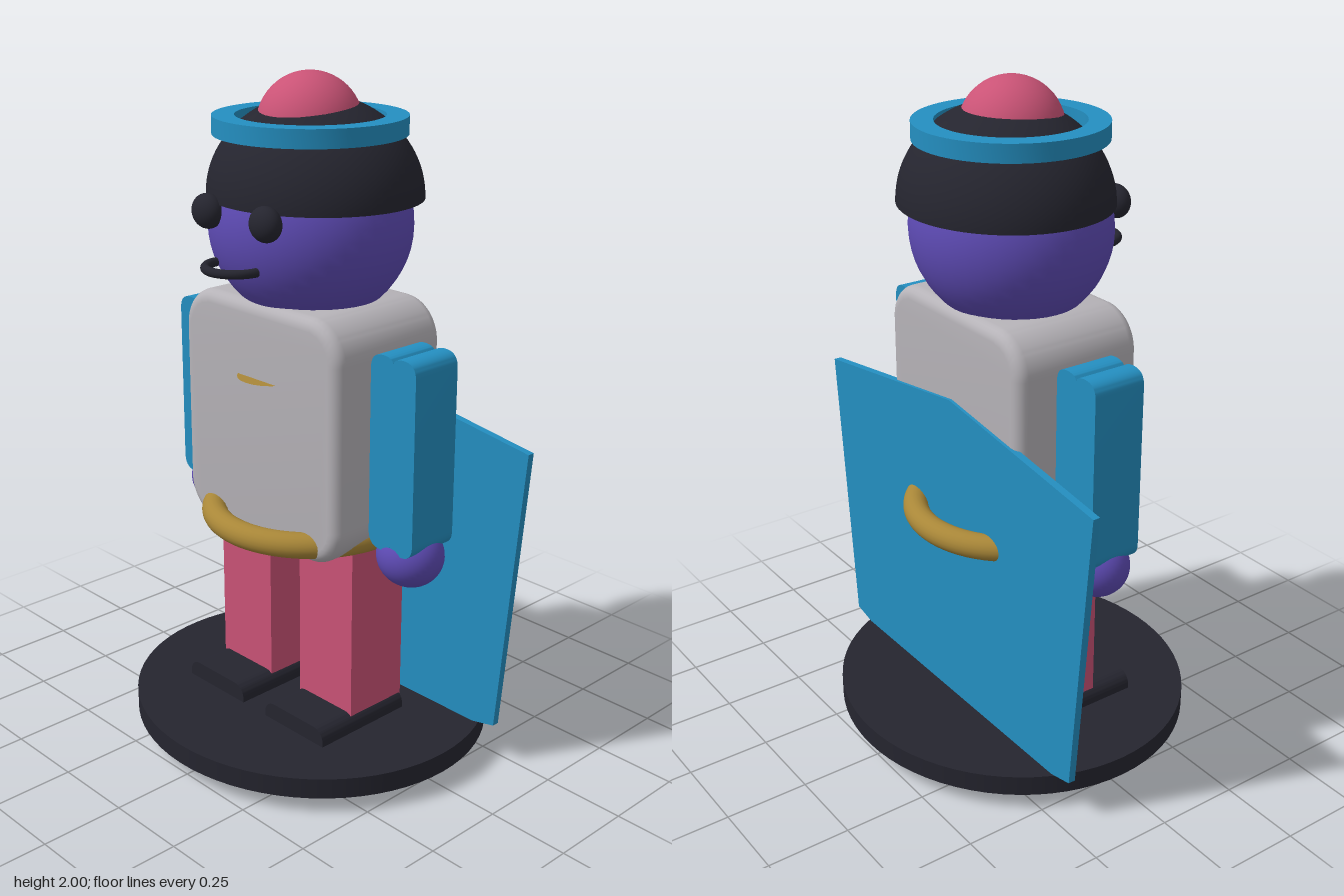
import * as THREE from 'three';
import { toCreasedNormals } from 'three/addons/utils/BufferGeometryUtils.js';

const mat = (name, color, side = THREE.FrontSide) => {
  const m = new THREE.MeshStandardMaterial({ color, side });
  m.name = name;
  return m;
};

// Rounded rectangle centred on the origin
function roundedRect(w, h, r) {
  const s = new THREE.Shape(), x = w / 2, y = h / 2;
  s.absarc(x - r, y - r, r, 0, Math.PI / 2);
  s.absarc(-x + r, y - r, r, Math.PI / 2, Math.PI);
  s.absarc(-x + r, -y + r, r, Math.PI, Math.PI * 1.5);
  s.absarc(x - r, -y + r, r, Math.PI * 1.5, Math.PI * 2);
  s.closePath();
  return s;
}

// Extrusion centred on z = 0; the bevel stays inside the outline
function slab(shape, depth, bevel = 0) {
  const g = new THREE.ExtrudeGeometry(shape, {
    depth: depth - 2 * bevel, bevelEnabled: bevel > 0, bevelThickness: bevel,
    bevelSize: bevel, bevelOffset: -bevel, bevelSegments: 5, curveSegments: 10,
  });
  g.translate(0, 0, -depth / 2 + bevel);
  return toCreasedNormals(g, 0.6);
}

// Arm outline: twin rounded lobes with a small notch at each end
function armShape(w, h, r) {
  const s = new THREE.Shape(), x = w / 2, y = h / 2, n = 0.018;
  s.moveTo(x, -y + r);
  s.lineTo(x, y - r);
  s.quadraticCurveTo(x, y, x - r, y);
  s.quadraticCurveTo(0.004, y, 0, y - n);
  s.quadraticCurveTo(-0.004, y, -x + r, y);
  s.quadraticCurveTo(-x, y, -x, y - r);
  s.lineTo(-x, -y + r);
  s.quadraticCurveTo(-x, -y, -x + r, -y);
  s.quadraticCurveTo(-0.004, -y, 0, -y + n);
  s.quadraticCurveTo(0.004, -y, x - r, -y);
  s.quadraticCurveTo(x, -y, x, -y + r);
  return s;
}

export function createModel() {
  const model = new THREE.Group();
  const purple = mat('purple', 0x5e4bb5);
  const pink = mat('pink', 0xca5376);
  const blue = mat('blue', 0x248fc1);
  const dark = mat('charcoal', 0x25252f);
  const grey = mat('grey', 0xb6b3b8);
  const gold = mat('gold', 0xa98738);
  const darkOpen = mat('charcoalOpen', 0x25252f, THREE.DoubleSide);
  const goldOpen = mat('goldOpen', 0xa98738, THREE.DoubleSide);

  const add = (name, geo, material, x = 0, y = 0, z = 0) => {
    const m = new THREE.Mesh(geo, material);
    m.name = name;
    m.position.set(x, y, z);
    model.add(m);
    return m;
  };
  const ball = (rx, ry, rz) => new THREE.SphereGeometry(1, 40, 28).scale(rx, ry, rz);

  // Round base
  add('base', new THREE.CylinderGeometry(1, 1, 0.062, 72).scale(0.56, 1, 0.525), dark, 0, 0.081, 0);

  // Cape: flat pointed panel
  const cape = new THREE.Shape([
    [0, 0], [0.58, 0.13], [0.66, 1.01], [0, 1.105], [-0.66, 1.01], [-0.58, 0.13],
  ].map(([x, y]) => new THREE.Vector2(x, y)));
  add('cape', slab(cape, 0.022), blue, 0, 0, -0.206);

  // Torso, belt and chest emblem
  add('torso', slab(roundedRect(0.645, 0.72, 0.12), 0.415, 0.035), grey, 0, 1.02, 0);
  add('belt', new THREE.TorusGeometry(0.287, 0.038, 20, 72).rotateX(Math.PI / 2), gold, 0, 0.713, 0);
  add('chestEmblem', new THREE.CircleGeometry(0.1, 24).rotateX(-Math.PI / 2), goldOpen, 0, 1.16, 0.15);

  // Mirrored limbs and eyes
  for (const [side, s] of [['left', 1], ['right', -1]]) {
    add(side + 'Leg', new THREE.BoxGeometry(0.22, 0.58, 0.21), pink, s * 0.175, 0.4, 0);
    add(side + 'Foot', slab(roundedRect(0.25, 0.085, 0.04), 0.335), dark, s * 0.175, 0.122, 0.067);
    add(side + 'Arm', slab(armShape(0.166, 0.57, 0.045), 0.165), blue, s * 0.409, 1.005, 0);
    add(side + 'Hand', ball(0.1, 0.093, 0.094), purple, s * 0.411, 0.692, 0);
    add(side + 'Eye', ball(0.052, 0.049, 0.038), dark, s * 0.119, 1.633, 0.275);
  }

  // Head and smiling mouth
  add('head', ball(0.302, 0.285, 0.281), purple, 0, 1.582, 0);
  add('mouth', new THREE.TorusGeometry(0.084, 0.013, 12, 32, Math.PI).rotateX(Math.PI / 2),
    dark, 0, 1.497, 0.278);

  // Helmet dome, brim band and top knob
  add('helmet', new THREE.SphereGeometry(1, 56, 24, 0, Math.PI * 2, 0, Math.PI / 2)
    .scale(0.318, 0.28, 0.298), darkOpen, 0, 1.655, -0.018);
  const band = [[0.21, -0.026], [0.273, -0.026], [0.273, 0.026], [0.21, 0.026], [0.21, -0.026]]
    .map(([x, y]) => new THREE.Vector2(x, y));
  add('helmetBand', toCreasedNormals(new THREE.LatheGeometry(band, 64), 0.6), blue, 0, 1.856, 0);
  add('helmetKnob', ball(0.149, 0.149, 0.149), pink, 0, 1.851, 0.002);

  return model;
}
